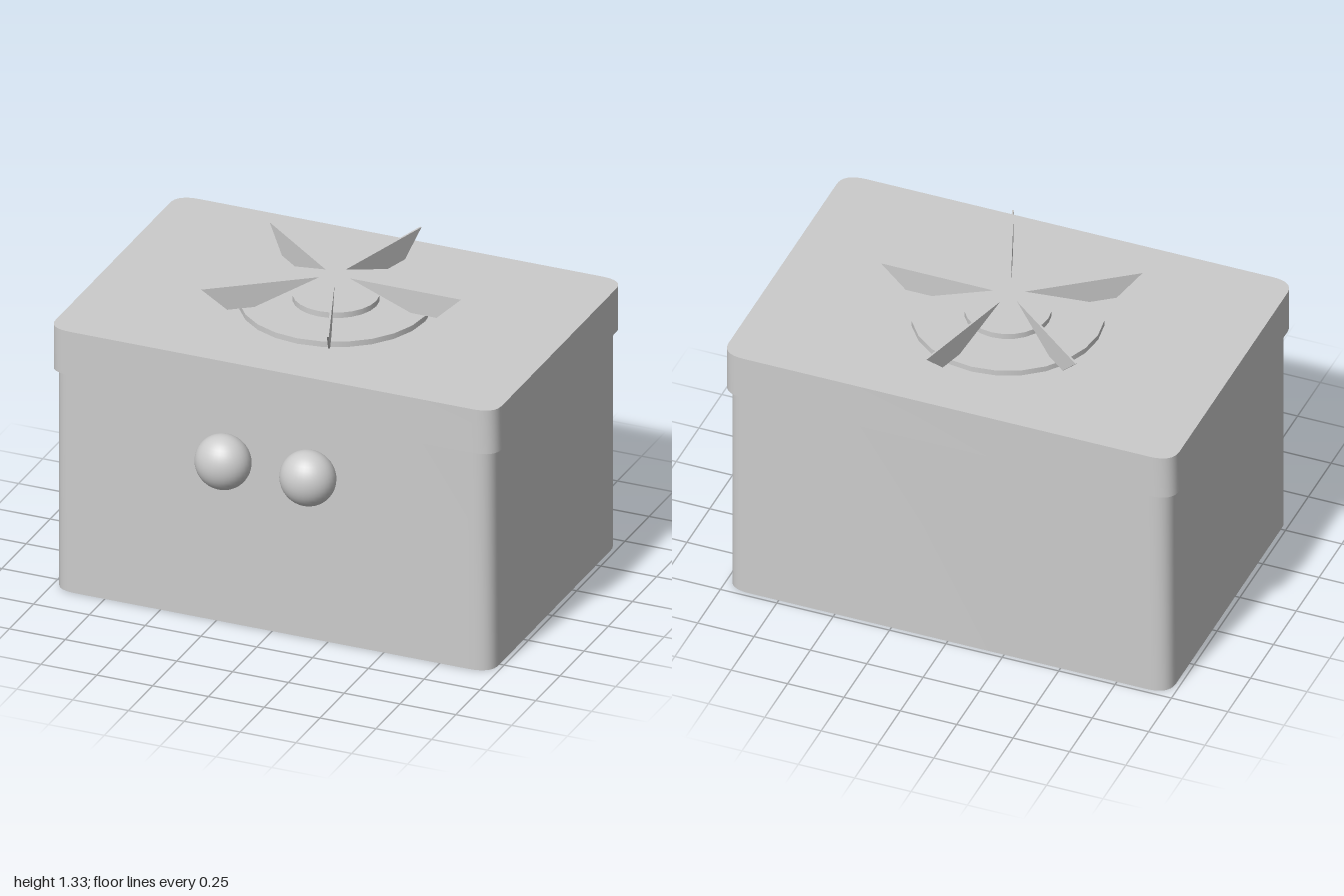
import * as THREE from 'three';
import { toCreasedNormals } from 'three/addons/utils/BufferGeometryUtils.js';

const material = new THREE.MeshStandardMaterial({ color: 0xcccccc });

function addMesh(parent, name, geometry, x = 0, y = 0, z = 0) {
  const mesh = new THREE.Mesh(geometry, material);
  mesh.name = name;
  mesh.position.set(x, y, z);
  parent.add(mesh);
  return mesh;
}

// Upright block with rounded vertical corners, standing on y = 0
function roundedBlock(width, depth, height, rx, rz) {
  const w = width / 2, d = depth / 2;
  const shape = new THREE.Shape();
  shape.moveTo(-w + rx, -d);
  shape.lineTo(w - rx, -d);
  shape.quadraticCurveTo(w, -d, w, -d + rz);
  shape.lineTo(w, d - rz);
  shape.quadraticCurveTo(w, d, w - rx, d);
  shape.lineTo(-w + rx, d);
  shape.quadraticCurveTo(-w, d, -w, d - rz);
  shape.lineTo(-w, -d + rz);
  shape.quadraticCurveTo(-w, -d, -w + rx, -d);
  const geometry = new THREE.ExtrudeGeometry(shape, { depth: height, bevelEnabled: false, curveSegments: 8 });
  geometry.rotateX(-Math.PI / 2);
  return toCreasedNormals(geometry, 0.6);
}

// Upright thin blade tapering from a wide top edge to a short foot
function bladeGeometry(length, height) {
  const thickness = 0.008;
  const shape = new THREE.Shape([
    new THREE.Vector2(0, height),
    new THREE.Vector2(length * 0.55, 0),
    new THREE.Vector2(length * 0.78, 0),
    new THREE.Vector2(length, height),
  ]);
  const geometry = new THREE.ExtrudeGeometry(shape, { depth: thickness, bevelEnabled: false });
  geometry.translate(0, 0, -thickness / 2);
  return geometry;
}

export function createModel() {
  const model = new THREE.Group();
  model.name = 'liddedBox';

  // Box and overhanging lid
  addMesh(model, 'body', roundedBlock(1.96, 1.32, 1.0, 0.1, 0.08), 0, 0, -0.07);
  addMesh(model, 'lid', roundedBlock(2, 1.34, 0.2, 0.1, 0.08), 0, 1, -0.07);

  // Pair of round knobs on the front
  for (const [name, x] of [['rightKnob', -0.2], ['leftKnob', 0.18]]) {
    const knob = addMesh(model, name, new THREE.SphereGeometry(0.12, 32, 20), x, 0.76, 0.637);
    knob.scale.z = 0.88;
  }

  // Stepped burner discs on the lid
  const burner = new THREE.Group();
  burner.name = 'burner';
  model.add(burner);
  addMesh(burner, 'burnerPlate', new THREE.CylinderGeometry(0.4, 0.4, 0.025, 24), 0, 1.2125, -0.07);
  addMesh(burner, 'burnerCap', new THREE.CylinderGeometry(0.18, 0.18, 0.025, 24), 0, 1.2375, -0.07);

  // Support blades: inner x, z and outer x, z of each
  const blades = [
    [0.06, -0.075, 0.56, -0.075],
    [0.01, -0.14, 0.14, -0.625],
    [-0.06, -0.11, -0.445, -0.42],
    [-0.06, -0.035, -0.46, 0.265],
    [0.02, 0, 0.195, 0.465],
  ];
  blades.forEach(([x0, z0, x1, z1], i) => {
    const length = Math.hypot(x1 - x0, z1 - z0);
    const blade = addMesh(burner, `supportBlade${i + 1}`, bladeGeometry(length, 0.105), x0, 1.225, z0);
    blade.rotation.y = Math.atan2(z0 - z1, x1 - x0);
  });

  return model;
}
